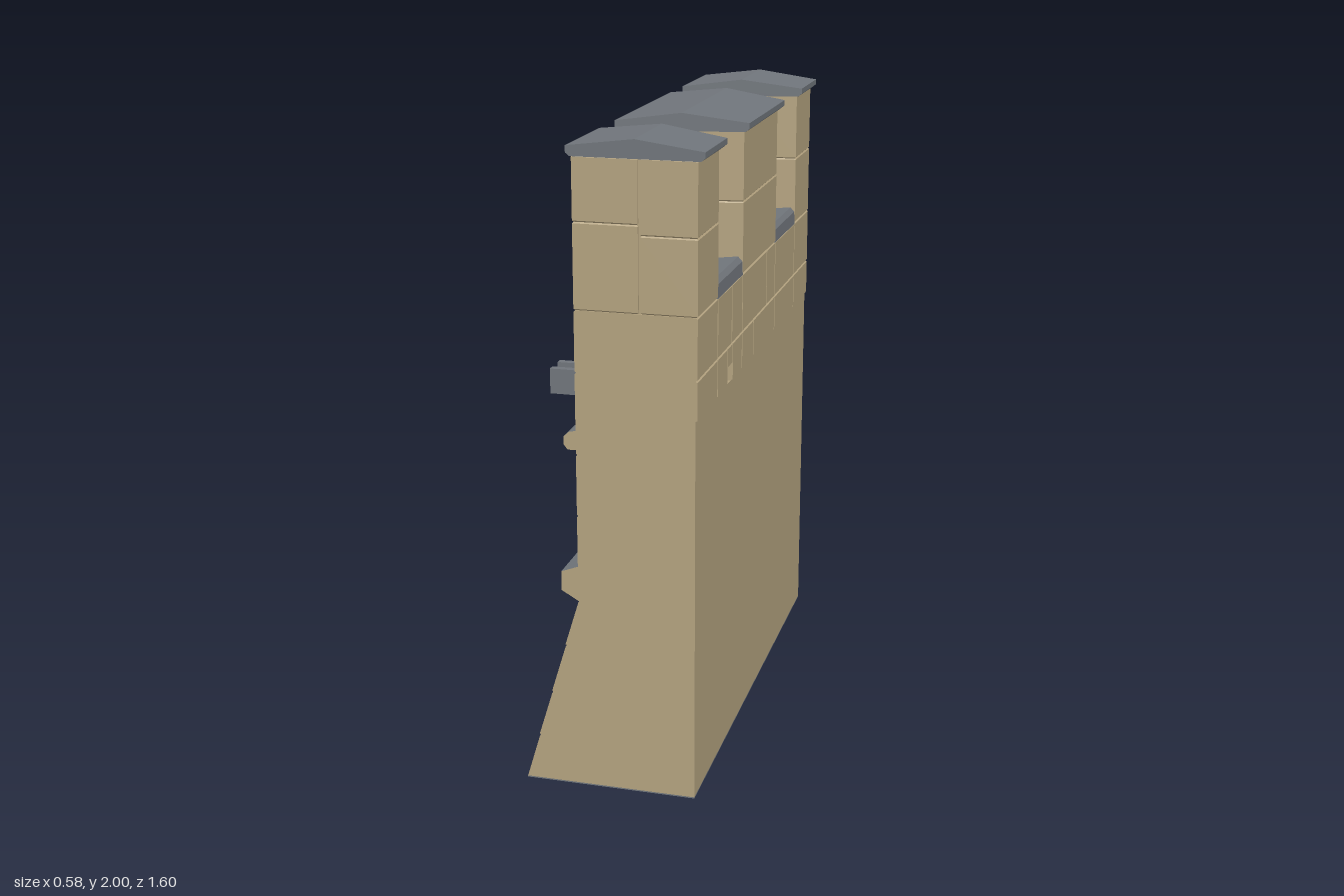
import * as THREE from 'three';

const stone = new THREE.MeshStandardMaterial({ color: 0xb3a27f });
const slate = new THREE.MeshStandardMaterial({ color: 0x70757b });
const END = 0.8, INNER = -0.095, OUTER = 0.27, GROOVE = 0.006;
const HOLE = 0.032; // half width of slots and drain
const holes = [-0.56, -0.08, 0.4];

const mesh = (name, geometry, material) => {
  const m = new THREE.Mesh(geometry, material);
  m.name = name;
  return m;
};
const shapeOf = (pts) => new THREE.Shape(pts.map(([x, y]) => new THREE.Vector2(x, y)));

// Cross-section in x,y run along z between two ends that may be splayed
function run(name, pts, lo, hi, material) {
  const at = (e, x) => (typeof e === 'function' ? e(x) : e);
  const g = new THREE.ExtrudeGeometry(shapeOf(pts), { depth: 1, bevelEnabled: false });
  const p = g.attributes.position;
  for (let i = 0; i < p.count; i++) {
    const x = p.getX(i);
    p.setZ(i, THREE.MathUtils.lerp(at(lo, x), at(hi, x), p.getZ(i)));
  }
  g.computeVertexNormals();
  return mesh(name, g, material);
}

// Plan outline in x,z raised from y0 to y1, with bevelled horizontal edges
function slab(name, pts, y0, y1, bevel) {
  const g = new THREE.ExtrudeGeometry(shapeOf(pts.map(([x, z]) => [x, -z])), {
    depth: y1 - y0 - 2 * bevel, bevelEnabled: bevel > 0, bevelSize: bevel,
    bevelThickness: bevel, bevelOffset: -bevel, bevelSegments: 1,
  });
  g.rotateX(-Math.PI / 2).translate(0, y0 + bevel, 0);
  return mesh(name, g, stone);
}

// Facing block on a wall surface x = surf(y), chamfered toward its joints
function block(name, surf, dir, y0, y1, z0, z1) {
  const g = new THREE.BoxGeometry(1, 1, 1);
  const p = g.attributes.position;
  const inset = 0.004;
  for (let i = 0; i < p.count; i++) {
    const out = p.getX(i) * dir > 0;
    const top = p.getY(i) > 0, far = p.getZ(i) > 0;
    let y = top ? y1 : y0, z = far ? z1 : z0;
    const x = surf(y) - (out ? 0 : dir * GROOVE);
    if (out && y > 0.01) y += top ? -inset : inset;
    if (out && Math.abs(z) < END) z += far ? -inset : inset;
    p.setXYZ(i, x, y, z);
  }
  g.computeVertexNormals();
  return mesh(name, g, stone);
}

// One course of blocks between the listed joints
function course(group, name, surf, dir, y0, y1, joints, skip = () => null) {
  const zs = [-END, ...joints, END];
  for (let i = 0; i + 1 < zs.length; i++) {
    const base = skip((zs[i] + zs[i + 1]) / 2, zs[i + 1] - zs[i]);
    if (base !== false) group.add(block(name, surf, dir, base ?? y0, y1, zs[i], zs[i + 1]));
  }
}

function wallCore() {
  const g = new THREE.Group();
  g.name = 'wallCore';
  const xi = INNER + GROOVE, xo = OUTER - GROOVE, foot = -0.27 + GROOVE;
  const lower = [[xo, 0.004], [foot, 0.004], [xi, 0.61]];
  const notch = [[xi, 0.88], [-0.045, 0.88], [-0.045, 1.07], [xi, 1.07]];
  const upper = [[xi, 1.505], [xo, 1.505]];
  let z = -END;
  for (const c of holes) {
    g.add(run('solidWall', [...lower, ...upper], z, c - HOLE, stone));
    const top = c === 0.4 ? [[xi, 1.2], [xo, 1.2]] : upper;
    g.add(run('slottedWall', [...lower, ...notch, ...top], c - HOLE, c + HOLE, stone));
    z = c + HOLE;
  }
  g.add(run('wallOverDrain', [[xi, 1.255], [xo, 1.255], [xo, 1.505], [xi, 1.505]], 0.4 - HOLE, 0.4 + HOLE, stone));
  g.add(run('solidWall', [...lower, ...upper], z, END, stone));
  g.add(run('footing', [[xo, 0], [-0.27, 0], [-0.27, 0.004], [xo, 0.004]], -END, END, slate));
  return g;
}

function facing() {
  const g = new THREE.Group();
  g.name = 'stoneFacing';
  const batter = (y) => THREE.MathUtils.lerp(-0.27, INNER, y / 0.61);
  const inner = () => INNER, outer = () => OUTER;
  const drain = [0.4 - HOLE, 0.4 + HOLE];
  const overDrain = (z, w) => (Math.abs(z - 0.4) < 0.01 && w < 0.1 ? 1.255 : null);
  // Battered foot
  course(g, 'batterBlock', batter, -1, 0.004, 0.15, [-0.56, -0.2, 0.25, 0.54]);
  course(g, 'batterBlock', batter, -1, 0.15, 0.3, [-0.67, -0.21, 0.3, 0.6]);
  course(g, 'batterBlock', batter, -1, 0.3, 0.46, [-0.56, -0.27, 0.15, 0.54]);
  course(g, 'batterBlock', batter, -1, 0.46, 0.61, [-0.65, -0.4, 0, 0.35]);
  // Inner face, with the slots left open
  course(g, 'innerBlock', inner, -1, 0.61, 0.88, [-0.62, -0.4, -0.15, 0.1, 0.34, 0.6]);
  course(g, 'innerBlock', inner, -1, 0.88, 1.07,
    holes.flatMap((c) => [c - HOLE, c + HOLE, c + 0.22]),
    (z, w) => (w < 0.1 && holes.some((c) => Math.abs(z - c) < 0.01) ? false : null));
  course(g, 'innerBlock', inner, -1, 1.07, 1.32, [-0.66, -0.4, -0.1, 0.15, ...drain, 0.62], overDrain);
  course(g, 'innerBlock', inner, -1, 1.32, 1.505, [-0.5, -0.22, 0.08, 0.3, 0.5]);
  // Outer face
  course(g, 'outerBlock', outer, 1, 1.2, 1.32, [-0.56, -0.24, 0.08, 0.24, ...drain, 0.56], overDrain);
  course(g, 'outerBlock', outer, 1, 1.32, 1.505, [-0.56, -0.24, -0.11, 0.24, 0.38, 0.56]);
  return g;
}

// Half width of a splayed crenel at x
const splay = (x) => THREE.MathUtils.mapLinear(x, INNER, OUTER, 0.1, 0.16);

function merlon(lo, hi) {
  const g = new THREE.Group();
  g.name = 'merlon';
  const xm = 0.1, gap = 0.003;
  const plan = (xa, xb, a, b) => [[xa, a(xa)], [xb, a(xb)], [xb, b(xb)], [xa, b(xa)]];
  const inLo = (x) => lo(x) + GROOVE, inHi = (x) => hi(x) - GROOVE;
  g.add(slab('merlonCore', plan(INNER + GROOVE, OUTER - GROOVE, inLo, inHi), 1.5, 1.945, 0));
  // Outer half, two courses
  for (const [y0, y1] of [[1.505, 1.73], [1.73, 1.948]]) {
    g.add(slab('merlonBlock', plan(xm + gap, OUTER, lo, hi), y0, y1, 0.004));
  }
  // Inner half, joints staggered between courses
  [[1.505, 1.76, 0.35], [1.76, 1.948, 0.65]].forEach(([y0, y1, t]) => {
    const cut = THREE.MathUtils.lerp(lo(INNER), hi(INNER), t);
    g.add(slab('merlonBlock', plan(INNER, xm - gap, lo, () => cut - gap), y0, y1, 0.004));
    g.add(slab('merlonBlock', plan(INNER, xm - gap, () => cut + gap, hi), y0, y1, 0.004));
  });
  // Ridged coping, overhanging into the crenels
  const over = (e, s) => (x) => (Math.abs(e(x)) >= END ? e(x) : e(x) + s * 0.02);
  g.add(run('coping', [[-0.1, 1.945], [-0.112, 1.955], [-0.112, 1.975], [0.088, 2],
    [0.29, 1.972], [0.29, 1.955], [0.278, 1.945]], over(lo, -1), over(hi, 1), slate));
  return g;
}

export function createModel() {
  const model = new THREE.Group();
  model.name = 'battlementWall';
  model.add(wallCore(), facing());

  // Merlons
  model.add(
    merlon(() => -END, (x) => -0.4 - splay(x)),
    merlon((x) => -0.4 + splay(x), (x) => 0.4 - splay(x)),
    merlon((x) => 0.4 + splay(x), () => END),
  );

  // Sloping sills in the crenels
  for (const c of [-0.4, 0.4]) {
    model.add(run('crenelSill', [[0.27, 1.503], [0.268, 1.545], [0.255, 1.56], [-0.12, 1.53],
      [-0.12, 1.515], [-0.11, 1.508], [INNER, 1.503]], (x) => c - splay(x), (x) => c + splay(x), slate));
  }

  // String courses, slate with stone ends
  const xi = INNER + GROOVE;
  model.add(run('lowerStringCourse', [[xi, 0.61], [INNER, 0.61], [-0.147, 0.64], [-0.147, 0.7],
    [INNER, 0.72], [xi, 0.72]], -END, END, [stone, slate]));
  model.add(run('upperStringCourse', [[xi, 1.085], [-0.12, 1.085], [-0.132, 1.1], [-0.132, 1.125],
    [-0.115, 1.14], [xi, 1.145]], -END, END, [stone, slate]));

  // Drain spout, an open channel
  const spout = new THREE.ExtrudeGeometry(shapeOf([[0.35, 1.14], [0.45, 1.14], [0.45, 1.22], [0.425, 1.22],
    [0.425, 1.185], [0.375, 1.185], [0.375, 1.22], [0.35, 1.22]]), { depth: 0.2, bevelEnabled: false });
  spout.rotateY(-Math.PI / 2).translate(-0.09, 0, 0);
  model.add(mesh('drainSpout', spout, slate));
  return model;
}
